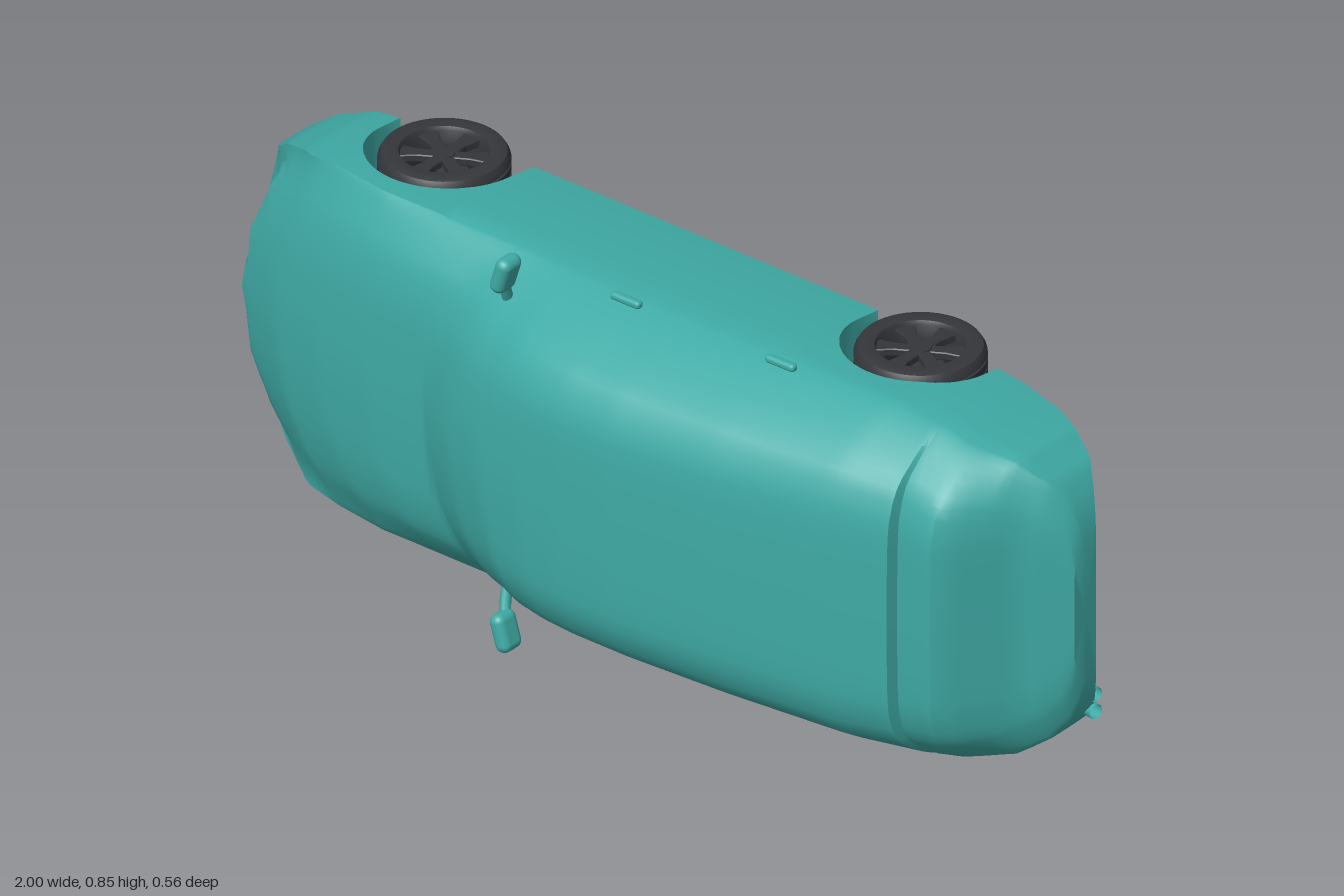
import * as THREE from 'three';
import { toCreasedNormals } from 'three/addons/utils/BufferGeometryUtils.js';
import { RoundedBoxGeometry } from 'three/addons/geometries/RoundedBoxGeometry.js';

// The car lies on its side: nose at -x, roof at +z, width along y.
const MID = 0.425;
const AXLES = [-0.615, 0.525];
const AXLE_Z = -0.158, ARCH = 0.152;

const paint = new THREE.MeshStandardMaterial({ color: 0x3faaa5 });
const thinPaint = new THREE.MeshStandardMaterial({ color: 0x3faaa5, side: THREE.DoubleSide });
const rubber = new THREE.MeshStandardMaterial({ color: 0x34363a, side: THREE.DoubleSide });

// Piecewise linear curve through [x, value] pairs
const curve = (pts) => (x) => {
  if (x <= pts[0][0]) return pts[0][1];
  for (let i = 1; i < pts.length; i++) {
    const [x0, v0] = pts[i - 1], [x1, v1] = pts[i];
    if (x <= x1) return v0 + (v1 - v0) * (x - x0) / (x1 - x0);
  }
  return pts[pts.length - 1][1];
};

// Side profile, shoulder, underside, floor and plan outline along the length
const top = curve([[-1, -0.1], [-0.98, -0.01], [-0.93, 0.015], [-0.85, 0.055], [-0.72, 0.093], [-0.58, 0.12],
  [-0.43, 0.137], [-0.32, 0.2], [-0.21, 0.245], [-0.1, 0.267], [0, 0.276], [0.12, 0.278], [0.35, 0.262],
  [0.6, 0.23], [0.732, 0.2], [0.738, 0.176], [0.82, 0.182], [0.84, 0.165], [0.92, 0.045], [0.95, 0.02], [1, -0.025]]);
const belt = curve([[-1, -0.14], [-0.93, -0.06], [-0.8, 0.01], [-0.6, 0.04], [0.8, 0.04], [0.92, 0], [1, -0.055]]);
const sill = curve([[-1, -0.175], [-0.8, -0.215], [-0.45, -0.234], [0.35, -0.222], [0.65, -0.2],
  [0.83, -0.19], [0.94, -0.145], [1, -0.09]]);
const floorLeft = curve([[-0.42, -0.234], [-0.41, -0.2], [0.33, -0.2], [0.4, -0.13], [0.67, -0.13], [0.7, -0.2]]);
const floorRight = curve([[-0.42, -0.234], [-0.41, -0.2], [0.33, -0.2], [0.4, -0.13], [0.67, -0.12], [1, -0.1]]);
const halfPts = [[-1, 0.17], [-0.992, 0.21], [-0.98, 0.24], [-0.955, 0.278], [-0.9, 0.32], [-0.82, 0.355], [-0.72, 0.366],
  [0.62, 0.368], [0.75, 0.352], [0.89, 0.315], [0.95, 0.273], [0.98, 0.23], [0.993, 0.19], [1, 0.15]];
const half = curve(halfPts);
// Rounded roof section: fraction of half width, fraction of height over the shoulder
const DOME = [[0, 1], [0.2, 0.998], [0.4, 0.99], [0.5, 0.98], [0.58, 0.96], [0.69, 0.89], [0.76, 0.81],
  [0.81, 0.71], [0.88, 0.5], [0.93, 0.34], [0.965, 0.2], [0.99, 0.08]];

// One side of a body cross-section, from roof centre to floor centre
function halfSection(x, side) {
  const w = half(x), b = belt(x);
  const bow = 1.1 * THREE.MathUtils.clamp(-x / 0.2, 0, 1);
  const pts = DOME.map(([u, s]) => {
    const y = u * w;
    return [y, b + Math.max(0, top(x - bow * y * y) - b) * s];
  });
  // Wheel arches raise the lower edge
  let edge = sill(x);
  for (const c of AXLES) {
    const d = ARCH * ARCH - (x - c) ** 2;
    if (d > 0) edge = Math.max(edge, AXLE_Z + Math.sqrt(d));
  }
  const low = Math.min(edge, b - 0.005);
  for (let i = 0; i <= 5; i++) {
    const z = b + (low - b) * i / 5;
    pts.push([w * (1 - 0.06 * ((b - z) / 0.27) ** 2), z]);
  }
  // Wheel well roof, inner wall, floor pan and centre tunnel
  const inner = Math.min(0.25, w * 0.75);
  const f = Math.max(sill(x), (side > 0 ? floorLeft : floorRight)(x));
  const tunnel = x > -0.42 && x < 0.36 ? 0.04 : 0;
  pts.push([inner, low], [inner - 0.004, f], [0.055, f], [0.04, f + tunnel], [0, f + tunnel]);
  return pts;
}

function bodyGeometry() {
  const xs = halfPts.map((p) => p[0]);
  for (let i = 1; i < 100; i++) xs.push(-1 + i * 0.02);
  for (const c of AXLES) for (const s of [-1, 1])
    for (const d of [0.0005, -0.0005, -0.002, -0.006, -0.012, -0.02]) xs.push(c + s * (ARCH + d));
  xs.push(0.732, 0.738, -0.43, -0.42, -0.41);
  xs.sort((a, b) => a - b);
  const rings = xs.map((x) => {
    const left = halfSection(x, 1).map(([y, z]) => [x, MID + y, z]);
    const right = halfSection(x, -1).map(([y, z]) => [x, MID - y, z]);
    return [...left, ...right.reverse()];
  });
  // Collapsed rings close the nose and tail
  const cap = (r) => r.map((p) => [p[0], MID, (r[0][2] + sill(p[0])) / 2]);
  rings.unshift(cap(rings[0]));
  rings.push(cap(rings[rings.length - 1]));
  const n = rings[0].length, index = [];
  for (let i = 0; i < rings.length - 1; i++) for (let j = 0; j < n; j++) {
    const a = i * n + j, b = i * n + (j + 1) % n;
    index.push(a, a + n, b, b, a + n, b + n);
  }
  const g = new THREE.BufferGeometry();
  g.setAttribute('position', new THREE.Float32BufferAttribute(rings.flat(2), 3));
  g.setIndex(index);
  return toCreasedNormals(g, 0.55);
}

function add(parent, name, geometry, material, x = 0, y = 0, z = 0) {
  const m = new THREE.Mesh(geometry, material);
  m.name = name;
  m.position.set(x, y, z);
  parent.add(m);
  return m;
}

const tube = (pts, r) => new THREE.TubeGeometry(
  new THREE.CatmullRomCurve3(pts.map((p) => new THREE.Vector3(...p))), 40, r, 10);
const lathe = (pts, seg = 48) => toCreasedNormals(
  new THREE.LatheGeometry(pts.map((p) => new THREE.Vector2(...p)), seg), 0.6);

// Wheel about the y axis, outer face toward +y
function makeWheel() {
  const wheel = new THREE.Group();
  wheel.name = 'wheel';
  const tread = [];
  for (const y of [-0.022, 0, 0.022])
    tread.push([0.1255, y - 0.003], [0.121, y - 0.002], [0.121, y + 0.002], [0.1255, y + 0.003]);
  add(wheel, 'tyre', lathe([[0.086, -0.043], [0.105, -0.046], [0.118, -0.042], [0.124, -0.032], ...tread,
    [0.124, 0.032], [0.118, 0.042], [0.105, 0.046], [0.086, 0.043]]), rubber);
  add(wheel, 'rim', lathe([[0.088, -0.043], [0.082, -0.035], [0.079, 0], [0.083, 0.035], [0.088, 0.043]]), rubber);
  add(wheel, 'hub', new THREE.CylinderGeometry(0.02, 0.026, 0.03, 24), rubber, 0, 0.022, 0);
  add(wheel, 'brakeDisc', new THREE.CylinderGeometry(0.05, 0.05, 0.01, 32), rubber, 0, -0.015, 0);
  // Six spokes, widening toward the rim
  const s = new THREE.Shape([[0.012, -0.011], [0.05, -0.011], [0.084, -0.019], [0.084, 0.019], [0.05, 0.011], [0.012, 0.011]]
    .map((p) => new THREE.Vector2(...p)));
  const spoke = new THREE.ExtrudeGeometry(s, { depth: 0.012, bevelSize: 0.002, bevelThickness: 0.002, bevelSegments: 1 });
  spoke.rotateX(-Math.PI / 2);
  for (let i = 0; i < 6; i++)
    add(wheel, 'spoke', spoke, rubber, 0, 0.02, 0).rotation.y = Math.PI / 6 + i * Math.PI / 3;
  return wheel;
}

export function createModel() {
  const car = new THREE.Group();
  car.name = 'car';
  add(car, 'body', bodyGeometry(), paint);

  for (const side of [1, -1]) {
    const Y = (d) => MID + side * d;
    for (const x of AXLES) {
      const w = makeWheel();
      w.position.set(x, Y(0.317), AXLE_Z);
      if (side < 0) w.rotation.x = Math.PI;
      car.add(w);
      // Suspension arms from the subframe to the hub
      add(car, 'suspensionArm', tube([[x + 0.05, Y(0.1), -0.19], [x + 0.02, Y(0.2), -0.185], [x, Y(0.3), -0.165]], 0.012), paint);
    }
    add(car, 'trailingArm', tube([[0.32, Y(0.23), -0.19], [0.42, Y(0.24), -0.185], [0.525, Y(0.26), -0.16]], 0.014), paint);
    // Mirror on a short stalk, swept back toward its tip
    const housing = add(car, 'mirror', new RoundedBoxGeometry(0.034, 0.078, 0.055, 4, 0.016), paint, -0.212, Y(0.386), 0.16);
    housing.rotation.z = -side * 0.3;
    add(car, 'mirrorStalk', tube([[-0.235, Y(0.31), 0.125], [-0.23, Y(0.34), 0.138], [-0.22, Y(0.37), 0.15]], 0.011), paint);
    for (const x of [0.005, 0.375])
      add(car, 'doorHandle', new RoundedBoxGeometry(0.07, 0.016, 0.018, 3, 0.007), paint, x, Y(0.367), 0.07);
    // Floor panel and its stiffening ribs
    add(car, 'floorPanel', new RoundedBoxGeometry(0.66, 0.14, 0.02, 2, 0.008), paint, -0.06, Y(0.155), -0.207);
    for (const d of [0.11, 0.155, 0.2])
      add(car, 'floorRib', new RoundedBoxGeometry(0.58, 0.012, 0.012, 2, 0.004), paint, -0.06, Y(d), -0.217);
  }

  // Rear subframe and final drive
  for (const x of [0.42, 0.6])
    add(car, 'rearCrossmember', new RoundedBoxGeometry(0.04, 0.44, 0.045, 3, 0.015), paint, x, MID, -0.155);
  add(car, 'finalDrive', new THREE.SphereGeometry(0.05, 20, 14), paint, 0.52, MID, -0.16).scale.set(1.3, 1, 0.9);
  add(car, 'driveShafts', new THREE.CylinderGeometry(0.011, 0.011, 0.6, 14), paint, 0.525, MID, AXLE_Z);

  // Exhaust from tunnel to twin tailpipes
  add(car, 'exhaustPipe', tube([[-0.42, 0.43, -0.2], [-0.1, 0.42, -0.195], [0.2, 0.43, -0.195], [0.36, 0.38, -0.2],
    [0.5, 0.35, -0.2], [0.65, 0.29, -0.18], [0.76, 0.24, -0.15]], 0.014), paint);
  add(car, 'resonator', new RoundedBoxGeometry(0.15, 0.1, 0.045, 4, 0.02), paint, 0.3, 0.41, -0.2);
  add(car, 'muffler', new RoundedBoxGeometry(0.18, 0.13, 0.09, 5, 0.035), paint, 0.81, 0.225, -0.145);
  for (const y of [0.185, 0.222]) {
    const tip = add(car, 'tailpipe', new THREE.CylinderGeometry(0.015, 0.015, 0.12, 18, 1, true), thinPaint, 0.93, y, -0.115);
    tip.rotation.set(0, -0.2, Math.PI / 2);
  }
  return car;
}
